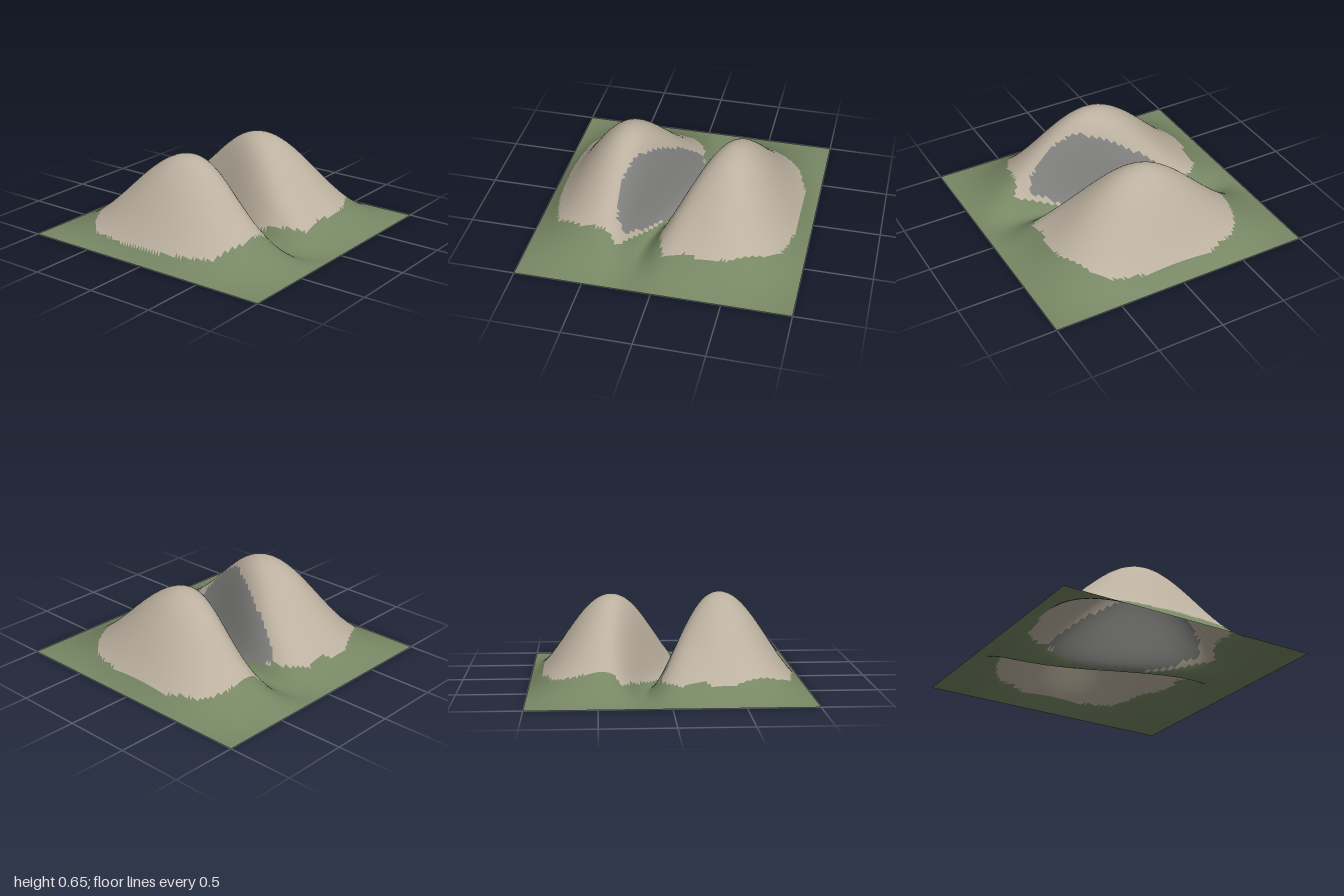
import * as THREE from 'three';

const SEGMENTS = 80;

// Summits of the two hills: plan position and height
const SUMMITS = [
  { x: -0.42, z: -0.06, top: 0.64 },
  { x: 0.42, z: 0.02, top: 0.62 },
];

// Plan outlines (x, z) of the bare rock on each hill and of the dark cliff face
const LEFT_ROCK = [
  [-0.42, -0.8], [-0.3, -0.8], [-0.24, -0.75], [-0.07, -0.76], [0, -0.7], [0.04, -0.62], [0.07, -0.5],
  [0.07, -0.3], [0.04, -0.08], [-0.09, 0.2], [-0.2, 0.4], [-0.28, 0.58], [-0.34, 0.67], [-0.4, 0.62],
  [-0.6, 0.6], [-0.7, 0.55], [-0.82, 0.49], [-0.88, 0.3], [-0.91, 0.1], [-0.91, -0.25], [-0.86, -0.55],
  [-0.75, -0.65], [-0.5, -0.77],
];
const RIGHT_ROCK = [
  [0.3, -0.65], [0.33, -0.7], [0.38, -0.65], [0.65, -0.64], [0.73, -0.6], [0.82, -0.53], [0.85, -0.4],
  [0.9, -0.28], [0.9, 0.2], [0.87, 0.38], [0.83, 0.5], [0.73, 0.6], [0.6, 0.65], [0.5, 0.71],
  [0.3, 0.73], [0.18, 0.69], [0.02, 0.7], [-0.03, 0.58], [-0.06, 0.4], [-0.07, 0.2], [-0.03, 0.11],
  [0.05, -0.08], [0.13, -0.25], [0.2, -0.4], [0.27, -0.55],
];
const CLIFF = [
  [0.06, -0.55], [0.08, -0.3], [0.04, -0.1], [-0.02, 0.05], [-0.1, 0.2], [-0.18, 0.35], [-0.3, 0.55],
  [-0.36, 0.52], [-0.38, 0.35], [-0.33, 0.2], [-0.22, 0], [-0.1, -0.25], [0, -0.47],
];

// Two bell-shaped hills that fade to zero at the square border, cut by a winding valley
function height(x, z) {
  const fade = (1 - x ** 8) * (1 - z * z);
  const hills = SUMMITS.reduce(
    (sum, s) => sum + s.top * Math.exp(-(((x - s.x) / 0.43) ** 2) - 1.4 * (z - s.z) ** 2), 0);
  const d = (x + 0.18 * Math.sin(2.3 * z)) / 0.155;
  return Math.max(0, fade) * hills * (1 - Math.exp(-d * d));
}

function inside(outline, x, z) {
  let hit = false;
  outline.forEach(([x1, z1], i) => {
    const [x2, z2] = outline[(i + 1) % outline.length];
    if ((z1 > z) !== (z2 > z) && x < x1 + ((z - z1) / (z2 - z1)) * (x2 - x1)) hit = !hit;
  });
  return hit;
}

export function createModel() {
  const model = new THREE.Group();
  model.name = 'twinHills';

  // Terrain sheet
  const terrain = new THREE.PlaneGeometry(2, 2, SEGMENTS, SEGMENTS).rotateX(-Math.PI / 2);
  const pos = terrain.attributes.position;
  for (let i = 0; i < pos.count; i++) pos.setY(i, height(pos.getX(i), pos.getZ(i)));
  terrain.computeVertexNormals();

  // Sort triangles into grass, rock and cliff by their centre
  const faces = { grass: [], rock: [], cliff: [] };
  const index = terrain.index;
  for (let i = 0; i < index.count; i += 3) {
    const tri = [index.getX(i), index.getX(i + 1), index.getX(i + 2)];
    const x = tri.reduce((s, v) => s + pos.getX(v), 0) / 3;
    const z = tri.reduce((s, v) => s + pos.getZ(v), 0) / 3;
    let part = 'grass';
    if (inside(CLIFF, x, z)) part = 'cliff';
    else if (inside(LEFT_ROCK, x, z) || inside(RIGHT_ROCK, x, z)) part = 'rock';
    faces[part].push(...tri);
  }

  // One mesh per surface, sharing vertices so the shading stays continuous
  const colors = { grass: 0x778764, rock: 0xbcb1a0, cliff: 0x80817e };
  for (const [name, list] of Object.entries(faces)) {
    const geometry = new THREE.BufferGeometry();
    geometry.setAttribute('position', pos);
    geometry.setAttribute('normal', terrain.attributes.normal);
    geometry.setIndex(list);
    const material = new THREE.MeshStandardMaterial({ color: colors[name], side: THREE.DoubleSide });
    material.name = name;
    const mesh = new THREE.Mesh(geometry, material);
    mesh.name = name;
    model.add(mesh);
  }
  return model;
}
